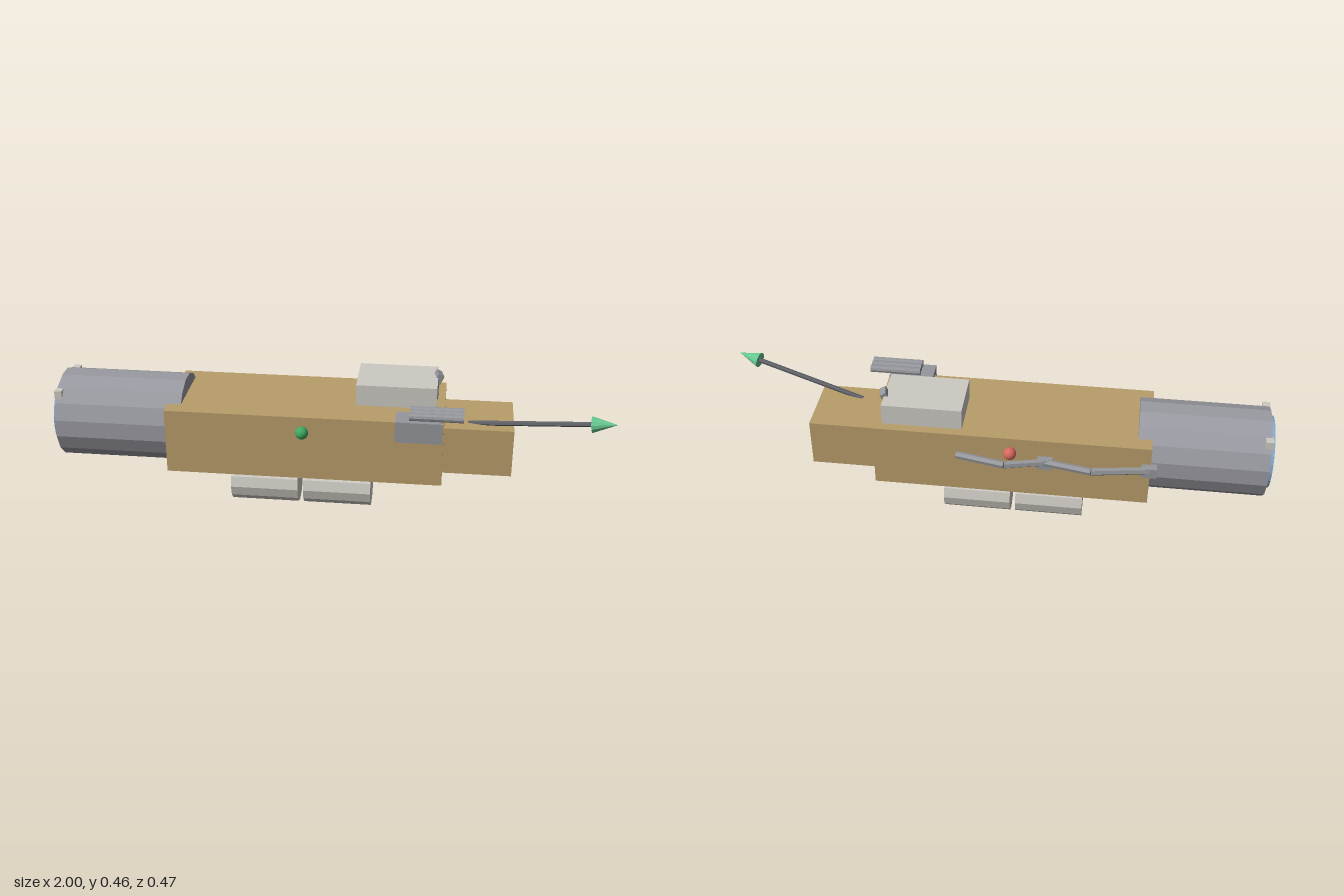
import * as THREE from 'three';

const mat = (color) => new THREE.MeshStandardMaterial({ color, flatShading: true });
const smooth = (color) => new THREE.MeshStandardMaterial({ color });
const tan = mat(0xb89d6a), engineGrey = mat(0x9a9aa2), pale = mat(0xcccac2), steel = mat(0x95979c);
const dark = mat(0x606268), glass = mat(0x86a8cc), screen = mat(0x56646f), gold = mat(0xb08c4c);
const green = mat(0x66c890), lampGreen = smooth(0x3fa860), lampRed = smooth(0xd8695f);

export function createModel() {
  const model = new THREE.Group();
  const add = (name, geometry, material) => {
    const mesh = new THREE.Mesh(geometry, material);
    mesh.name = name;
    model.add(mesh);
    return mesh;
  };
  // box from its low and high corners
  const box = (name, material, [x0, y0, z0], [x1, y1, z1]) => {
    const mesh = add(name, new THREE.BoxGeometry(x1 - x0, y1 - y0, z1 - z0), material);
    mesh.position.set((x0 + x1) / 2, (y0 + y1) / 2, (z0 + z1) / 2);
    return mesh;
  };
  // prism or cone running between two points; spin turns its facets
  const rod = (name, material, from, to, r0, r1, sides, spin = 0) => {
    const a = new THREE.Vector3(...from), b = new THREE.Vector3(...to);
    const dir = b.clone().sub(a);
    const geometry = new THREE.CylinderGeometry(r1, r0, dir.length(), sides);
    geometry.rotateY(spin);
    const mesh = add(name, geometry, material);
    mesh.quaternion.setFromUnitVectors(new THREE.Vector3(0, 1, 0), dir.normalize());
    mesh.position.copy(a).add(b).multiplyScalar(0.5);
    return mesh;
  };
  const ball = (name, material, r, x, y, z) =>
    add(name, new THREE.SphereGeometry(r, 16, 12), material).position.set(x, y, z);

  // hull and nose block
  box('hull', tan, [-0.575, 0.127, -0.159], [0.415, 0.368, 0.196]);
  box('nose', tan, [0.41, 0.149, -0.104], [0.66, 0.326, 0.139]);

  // rear barrel with its window and two rim clips
  const cy = 0.265, cz = 0.018;
  rod('rearBarrel', engineGrey, [-0.985, cy, cz], [-0.525, cy, cz], 0.1615, 0.1615, 16, Math.PI / 16);
  rod('rearWindow', glass, [-1, cy, cz], [-0.97, cy, cz], 0.13, 0.13, 24);
  for (const s of [-1, 1]) {
    const z = cz + s * 0.106;
    box('rimClip', pale, [-0.99, 0.364, z - 0.016], [-0.963, 0.396, z + 0.016]);
  }

  // two pairs of tanks under the hull
  for (const z of [0.123, -0.087])
    for (const x of [-0.343, -0.08])
      rod('tank', pale, [x, 0.076, z], [x + 0.243, 0.076, z], 0.075, 0.075, 12);

  // roof housing with a dark screen and a tilted sensor
  box('roofHousing', pale, [0.097, 0.36, -0.125], [0.385, 0.446, 0.073]);
  box('screen', screen, [0.37, 0.394, -0.097], [0.388, 0.435, 0.045]);
  const sensor = new THREE.Group();
  sensor.name = 'sensor';
  const head = new THREE.Mesh(new THREE.BoxGeometry(0.022, 0.04, 0.046), steel);
  head.name = 'sensorHead';
  const plate = new THREE.Mesh(new THREE.BoxGeometry(0.005, 0.034, 0.04), gold);
  plate.name = 'sensorPlate';
  plate.position.x = 0.012;
  sensor.add(head, plate);
  sensor.position.set(0.383, 0.438, -0.047);
  sensor.rotation.set(0, 0.2, -0.45);
  model.add(sensor);

  // side launcher with three tubes
  box('launcherBase', steel, [0.247, 0.31, 0.147], [0.41, 0.387, 0.235]);
  for (const z of [0.162, 0.1895, 0.217])
    rod('launcherTube', steel, [0.295, 0.403, z], [0.482, 0.403, z], 0.014, 0.014, 10);

  // forward probe with a cone tip
  const root = [0.5, 0.322, 0.077], neck = [0.918, 0.39, 0.181], tip = [1, 0.403, 0.202];
  rod('probeRod', dark, root, neck, 0.009, 0.009, 6);
  rod('probeTip', green, neck, tip, 0.029, 0, 12);

  // folded arm along the back, held by two brackets
  const joints = [
    [-0.57, 0.29, -0.177], [-0.37, 0.299, -0.22], [-0.205, 0.29, -0.177],
    [-0.065, 0.299, -0.22], [0.11, 0.29, -0.172],
  ];
  for (let i = 0; i < joints.length - 1; i++)
    rod('armSegment', steel, joints[i], joints[i + 1], 0.0135, 0.0135, 6);
  for (const x of [-0.57, -0.205])
    box('armBracket', steel, [x - 0.027, 0.264, -0.187], [x + 0.027, 0.302, -0.155]);

  // side lamps
  ball('leftLamp', lampGreen, 0.023, -0.08, 0.316, 0.211);
  ball('rightLamp', lampRed, 0.023, -0.08, 0.316, -0.175);

  return model;
}
